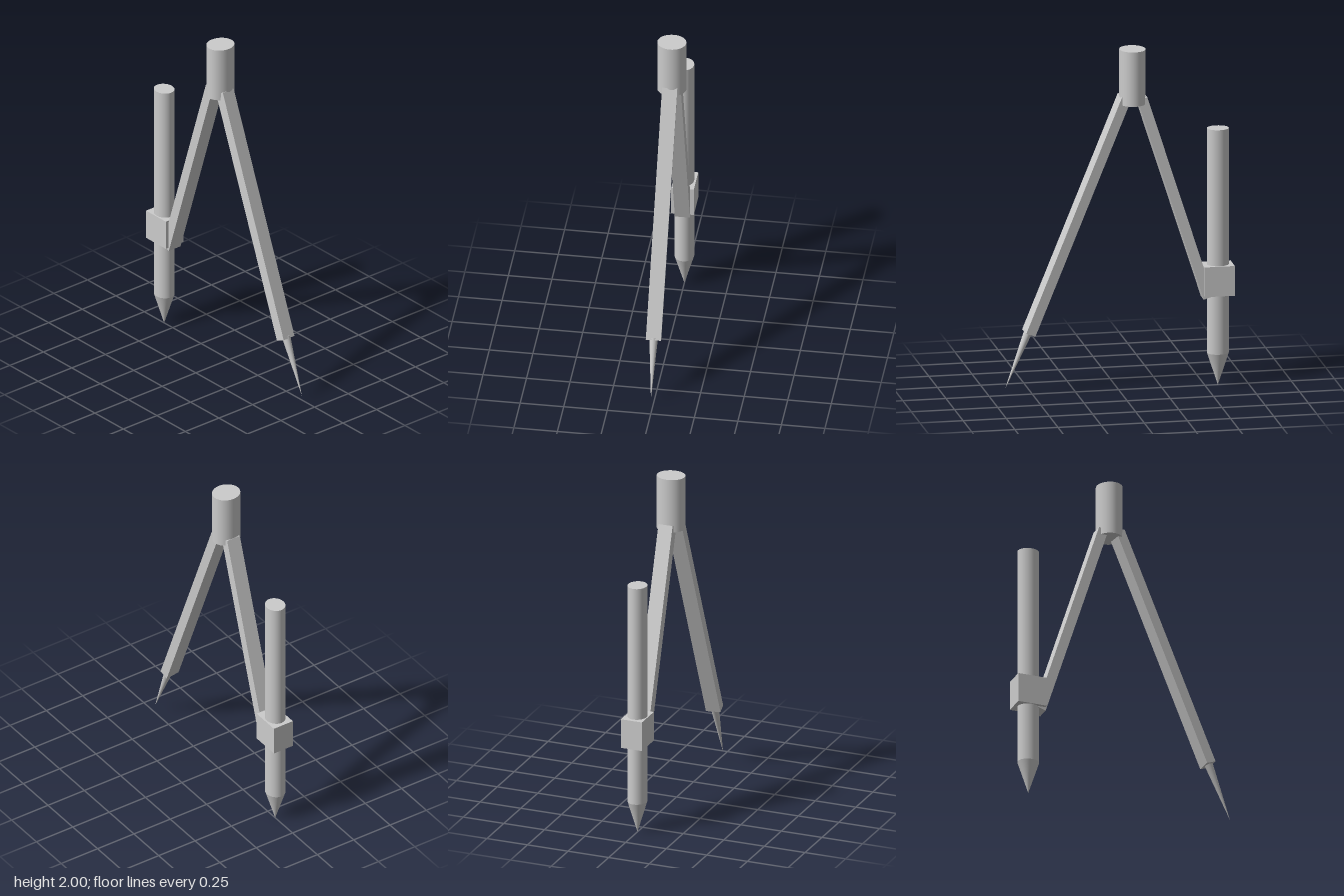
import * as THREE from 'three';

const material = new THREE.MeshStandardMaterial({ color: 0xcccccc });
const UP = new THREE.Vector3(0, 1, 0);

function addMesh(group, name, geometry, x, y, z) {
  const mesh = new THREE.Mesh(geometry, material);
  mesh.name = name;
  mesh.position.set(x, y, z);
  group.add(mesh);
  return mesh;
}

// Places a part whose long axis is y so that it runs from one point to another.
function addBetween(group, name, from, to, makeGeometry, roll = 0) {
  const a = new THREE.Vector3(...from);
  const b = new THREE.Vector3(...to);
  const axis = b.clone().sub(a);
  const mid = a.clone().add(b).multiplyScalar(0.5);
  const mesh = addMesh(group, name, makeGeometry(axis.length()), mid.x, mid.y, mid.z);
  mesh.quaternion.setFromUnitVectors(UP, axis.normalize());
  mesh.rotateY(roll);
  return mesh;
}

export function createModel() {
  const group = new THREE.Group();
  group.name = 'drawingCompass';
  const bar = (length) => new THREE.BoxGeometry(0.058, length, 0.087);

  // Grip at the hinge, slightly oval
  const grip = new THREE.CylinderGeometry(1, 1, 0.32, 48).scale(0.075, 1, 0.083);
  addMesh(group, 'handle', grip, -0.08, 1.84, 0);

  // Two square legs; the needle leg is turned and leans a little forward
  addBetween(group, 'pencilLeg', [-0.512, 0.524, -0.002], [-0.13, 1.714, -0.002], bar);
  addBetween(group, 'needleLeg', [0.517, 0.355, 0.018], [-0.035, 1.72, 0.005], bar, 0.1);

  // Needle point
  addBetween(group, 'needle', [0.518, 0.37, 0.017], [0.655, 0.035, 0.013],
    (length) => new THREE.ConeGeometry(0.025, length, 32));

  // Clamp block holding the pencil
  addMesh(group, 'pencilClamp', new THREE.BoxGeometry(0.175, 0.175, 0.13), -0.573, 0.623, -0.002);

  // Pencil with its sharpened tip
  const shaft = new THREE.CylinderGeometry(1, 1, 1.32, 48).scale(0.063, 1, 0.056);
  addMesh(group, 'pencil', shaft, -0.575, 0.85, 0);
  const tip = new THREE.ConeGeometry(1, 0.19, 48).rotateX(Math.PI).scale(0.063, 1, 0.056);
  addMesh(group, 'pencilTip', tip, -0.575, 0.095, 0);

  return group;
}
